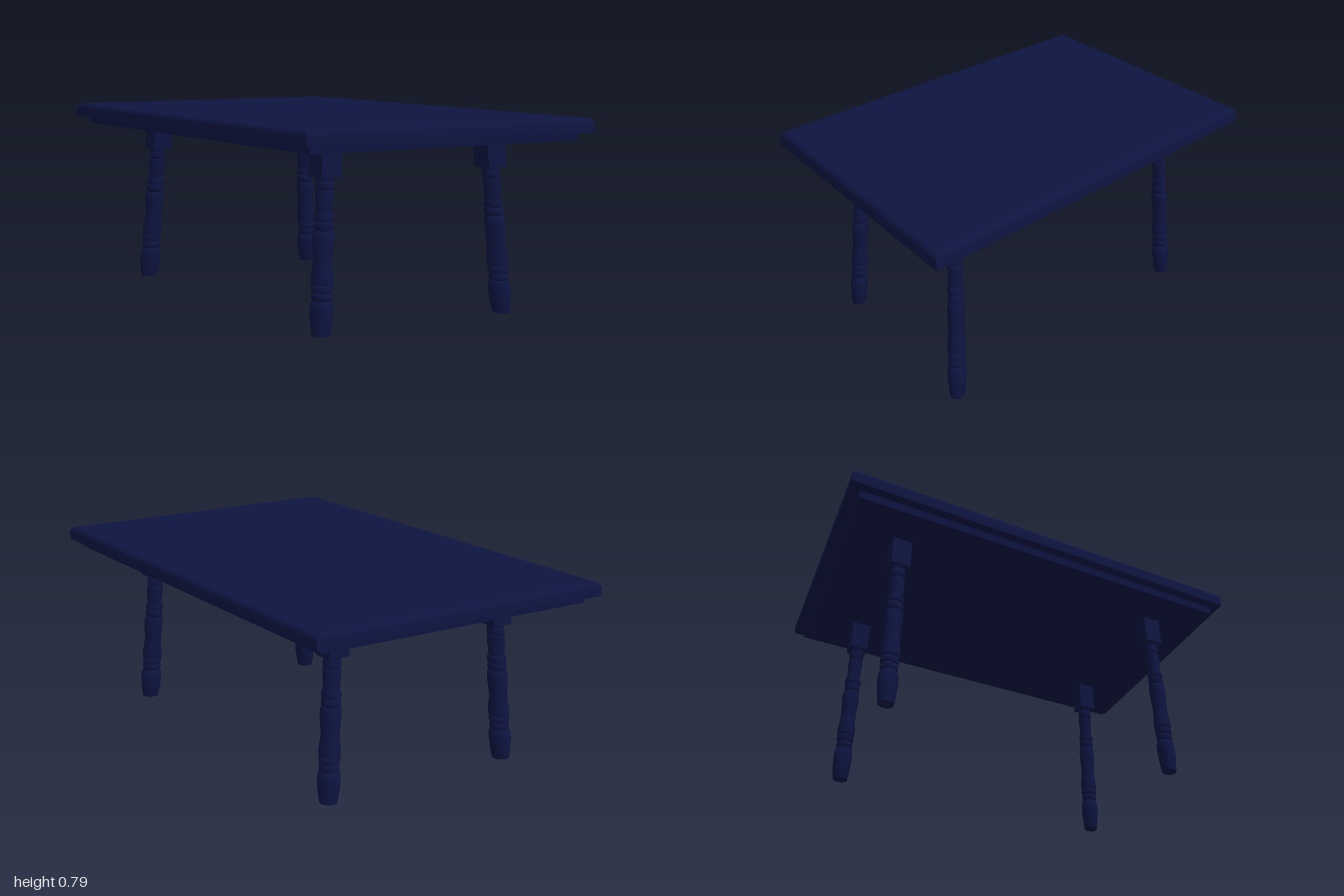
import * as THREE from 'three';
import { toCreasedNormals } from 'three/addons/utils/BufferGeometryUtils.js';

const HALF_X = 0.6, HALF_Z = 0.867, SKEW = 0.22;
const material = new THREE.MeshStandardMaterial({ color: 0x0d1440 });

// Move every vertex by a rule, then slant the part along z so the plan is a parallelogram
function shape(geometry, rule) {
  const pos = geometry.attributes.position;
  const v = new THREE.Vector3();
  for (let i = 0; i < pos.count; i++) {
    v.fromBufferAttribute(pos, i);
    rule(v);
    pos.setXYZ(i, v.x, v.y, v.z + SKEW * v.x);
  }
  return toCreasedNormals(geometry, 0.6);
}

const lathe = (points, sides, start = 0) =>
  new THREE.LatheGeometry(points.map(([r, y]) => new THREE.Vector2(r, y)), sides, start);

// Four-sided slab from an edge profile of [inset, y], closed above and below
function slab(name, profile) {
  const points = profile.map(([inset, y]) => [1 - inset, y]);
  points.unshift([0, profile[0][1]]);
  points.push([0, profile[profile.length - 1][1]]);
  const geometry = shape(lathe(points, 4, Math.PI / 4), (v) => {
    const r = Math.hypot(v.x, v.z);
    if (r < 1e-4) return;
    v.x = Math.sign(v.x) * (HALF_X - 1 + r);
    v.z = Math.sign(v.z) * (HALF_Z - 1 + r);
  });
  const mesh = new THREE.Mesh(geometry, material);
  mesh.name = name;
  return mesh;
}

// Turned profile of a leg, [radius, y] from the foot up
const turning = [
  [0, 0], [0.032, 0], [0.036, 0.03], [0.04, 0.07], [0.041, 0.1], [0.039, 0.122], [0.032, 0.133],
  [0.035, 0.138], [0.036, 0.15], [0.034, 0.16], [0.031, 0.163],
  [0.036, 0.167], [0.038, 0.178], [0.036, 0.189], [0.033, 0.192],
  [0.038, 0.195], [0.039, 0.21], [0.037, 0.235], [0.034, 0.26], [0.033, 0.285], [0.035, 0.32],
  [0.037, 0.35], [0.037, 0.375], [0.034, 0.39], [0.03, 0.394],
  [0.033, 0.398], [0.034, 0.41], [0.033, 0.424], [0.03, 0.428],
  [0.034, 0.432], [0.035, 0.442], [0.033, 0.453], [0.029, 0.456],
  [0.029, 0.475], [0.031, 0.505], [0.032, 0.525], [0.031, 0.54], [0.027, 0.544],
  [0.031, 0.549], [0.032, 0.562], [0.03, 0.575], [0.028, 0.58], [0.031, 0.585], [0.031, 0.6],
];

// Leg splayed outward toward the corner given by the signs sx, sz
function leg(name, sx, sz) {
  const group = new THREE.Group();
  group.name = name;
  const splay = (v) => {
    const drop = (0.7 - v.y) / 0.7;
    v.x += sx * (0.35 + 0.045 * drop);
    v.z += sz * (0.603 + 0.04 * drop);
  };
  const turned = new THREE.Mesh(shape(lathe(turning, 24), splay), material);
  turned.name = 'turnedLeg';
  const box = new THREE.BoxGeometry(0.08, 0.12, 0.08).translate(0, 0.65, 0);
  const block = new THREE.Mesh(shape(box, splay), material);
  block.name = 'legBlock';
  group.add(turned, block);
  return group;
}

export function createModel() {
  const table = new THREE.Group();
  table.name = 'table';

  // Top with a rounded upper edge
  const edge = [[0, 0.733], [0, 0.762]];
  for (let i = 1; i <= 6; i++) {
    const a = (i / 6) * Math.PI / 2;
    edge.push([0.024 * (1 - Math.cos(a)), 0.762 + 0.028 * Math.sin(a)]);
  }
  table.add(slab('tableTop', edge));

  // Inset board below the top
  table.add(slab('underBoard', [[0.04, 0.702], [0.04, 0.735]]));

  for (const sx of [-1, 1]) for (const sz of [-1, 1])
    table.add(leg((sz > 0 ? 'front' : 'back') + (sx > 0 ? 'Left' : 'Right') + 'Leg', sx, sz));
  return table;
}
